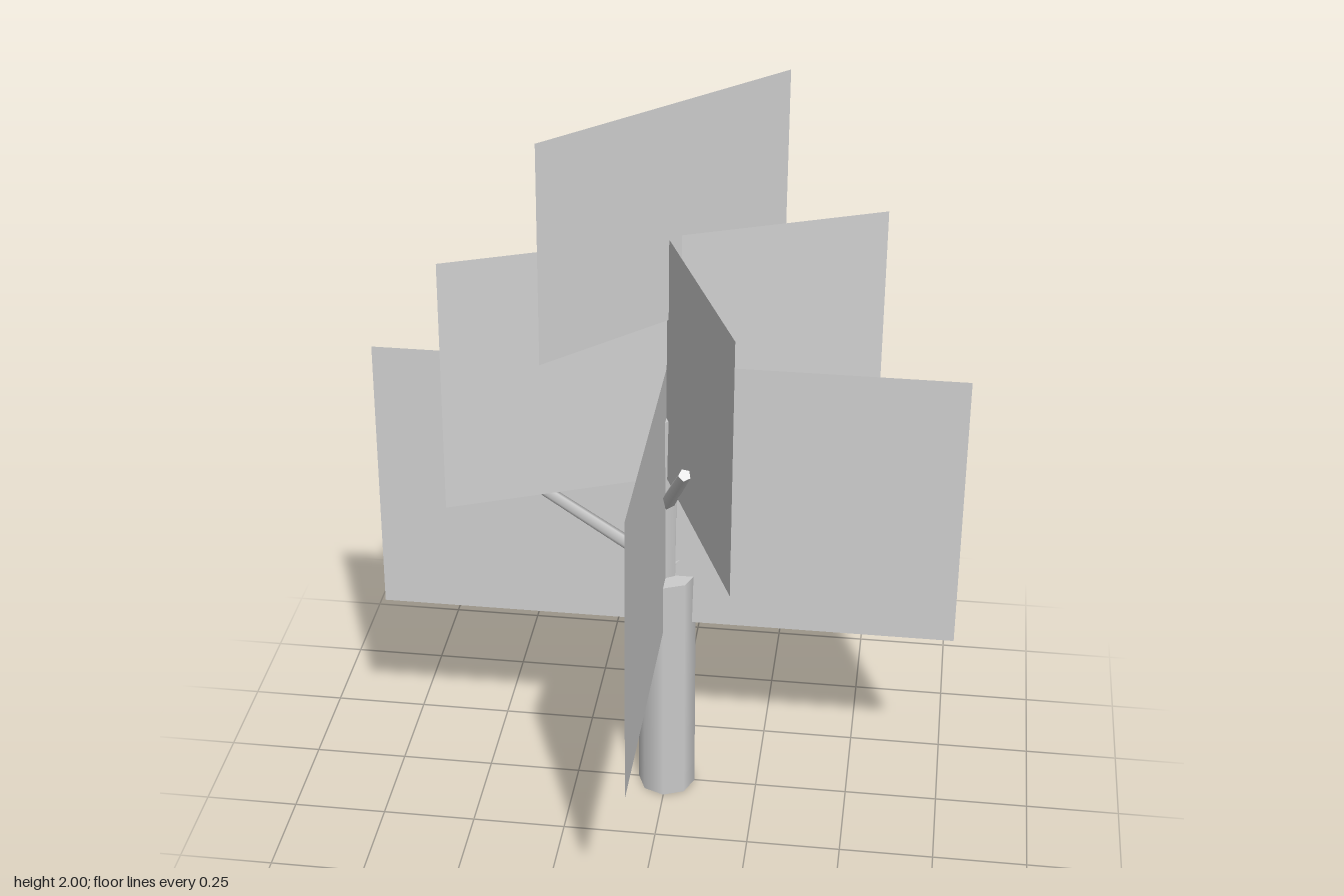
import * as THREE from 'three';

export function createModel() {
  const tree = new THREE.Group();
  tree.name = 'cardTree';
  const grey = new THREE.MeshStandardMaterial({ color: 0xcccccc, side: THREE.DoubleSide });
  grey.name = 'lightGrey';

  const add = (name, geometry) => {
    const mesh = new THREE.Mesh(geometry, grey);
    mesh.name = name;
    tree.add(mesh);
    return mesh;
  };

  // Tapered limb running between two points
  const limb = (name, from, to, rBottom, rTop, sides) => {
    const a = new THREE.Vector3(...from), b = new THREE.Vector3(...to);
    const dir = b.clone().sub(a);
    const mesh = add(name, new THREE.CylinderGeometry(rTop, rBottom, dir.length(), sides));
    mesh.position.copy(a).add(b).multiplyScalar(0.5);
    mesh.quaternion.setFromUnitVectors(new THREE.Vector3(0, 1, 0), dir.normalize());
  };

  // Trunk and its slim upper stem
  limb('trunk', [0, 0, 0], [0, 0.685, 0], 0.078, 0.078, 8);
  limb('upperStem', [0, 0.6, 0], [0, 1.16, 0], 0.027, 0.032, 6);

  // Two opposite pairs of branches, the upper pair turned a quarter
  for (const s of [1, -1]) {
    limb('lowerBranch', [0, 0.7, 0], [s * 0.315, 0.978, -s * 0.09], 0.02, 0.016, 5);
    limb('upperBranch', [0, 0.9, 0], [s * 0.085, 1.18, s * 0.32], 0.02, 0.016, 5);
  }

  // Flat foliage cards through the trunk axis, leaning slightly back
  const LEAN = 0.05;
  const card = (name, x, z, y0, y1) => {
    const mid = (y0 + y1) / 2;
    const geometry = new THREE.PlaneGeometry(2 * Math.hypot(x, z), y1 - y0);
    geometry.rotateY(-Math.atan2(z, x));
    geometry.translate(0, mid, 0);
    const p = geometry.attributes.position;
    for (let i = 0; i < p.count; i++) p.setZ(i, p.getZ(i) - LEAN * (p.getY(i) - mid));
    geometry.computeVertexNormals();
    add(name, geometry);
  };
  card('lowerFoliageAcross', 0.767, 0, 0.545, 1.3);
  card('lowerFoliageAlong', 0, 0.767, 0.545, 1.3);
  card('middleFoliageAcross', 0.532, -0.222, 0.99, 1.655);
  card('middleFoliageAlong', 0.222, 0.532, 0.99, 1.655);
  card('topFoliage', 0.272, -0.272, 1.44, 2);

  return tree;
}
